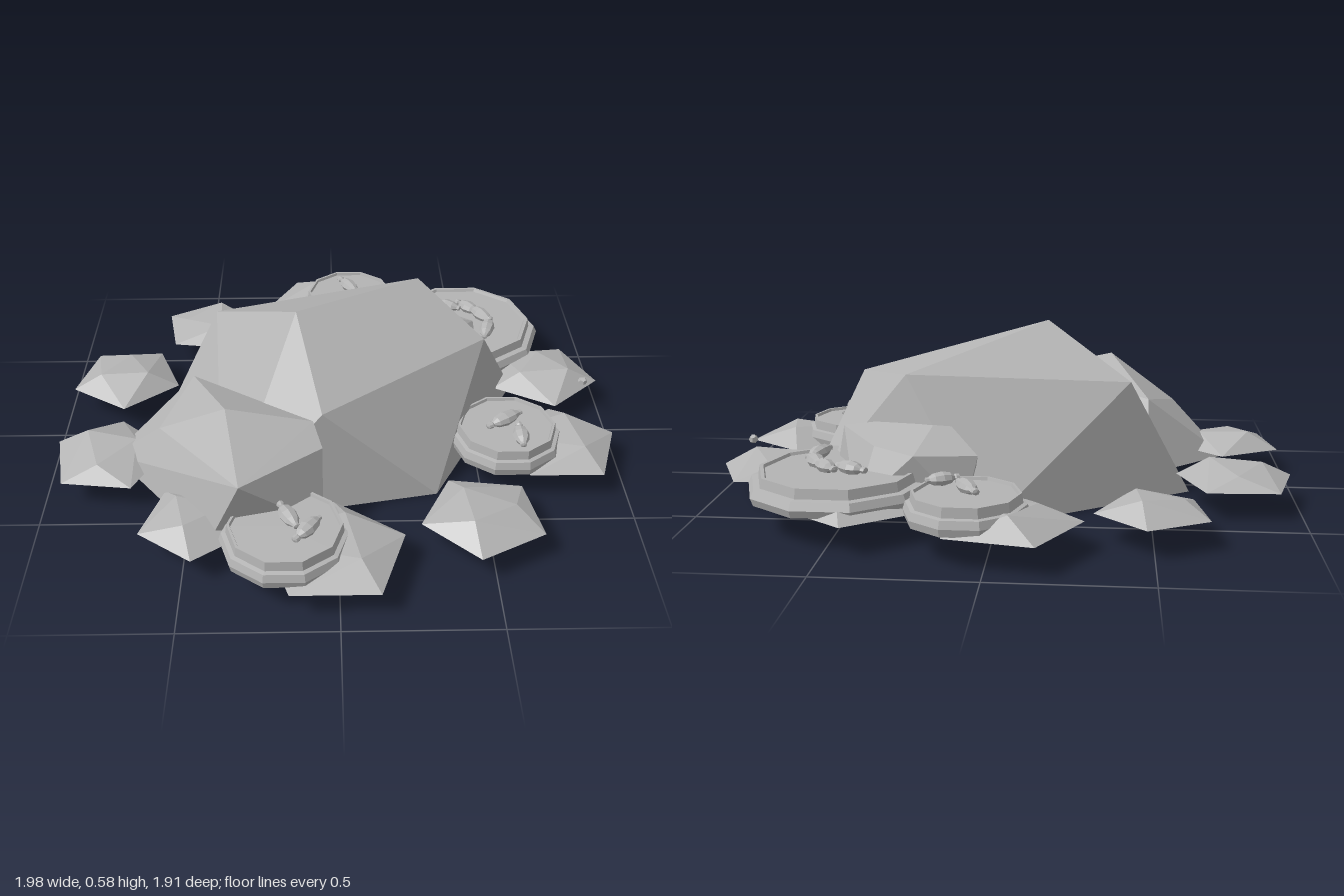
import * as THREE from 'three';
import { ConvexGeometry } from 'three/addons/geometries/ConvexGeometry.js';

const stone = new THREE.MeshStandardMaterial({ color: 0xb4b4b4, flatShading: true, side: THREE.DoubleSide });
stone.name = 'grey stone';

// Faceted shell around a few corner points, left open underneath
function openRock(corners) {
  const hull = new ConvexGeometry(corners.map(c => new THREE.Vector3(...c)));
  const p = hull.attributes.position;
  const kept = [];
  const tri = new THREE.Triangle(), n = new THREE.Vector3();
  for (let i = 0; i < p.count; i += 3) {
    tri.setFromAttributeAndIndices(p, i, i + 1, i + 2).getNormal(n);
    if (n.y > -0.95) kept.push(...tri.a.toArray(), ...tri.b.toArray(), ...tri.c.toArray());
  }
  const g = new THREE.BufferGeometry();
  g.setAttribute('position', new THREE.Float32BufferAttribute(kept, 3));
  g.computeVertexNormals();
  return g;
}

// Low pentagonal stone: five rim corners and three raised ones
function flatStone(x, z, r, degrees) {
  const a0 = THREE.MathUtils.degToRad(degrees);
  const corners = [];
  for (let i = 0; i < 5; i++) {
    const a = a0 + i * Math.PI * 0.4;
    corners.push([x + r * Math.cos(a), 0.095, z + r * Math.sin(a)]);
  }
  [0.157, 0.145, 0.135].forEach((y, i) => {
    const a = a0 + 0.3 + i * Math.PI * 2 / 3;
    corners.push([x + 0.5 * r * Math.cos(a), y, z + 0.5 * r * Math.sin(a)]);
  });
  return openRock(corners);
}

// Stepped round slab with a thin raised lip
function slab(r) {
  const profile = [[0, 0.1], [0.97, 0.1], [1, 0.125], [0.96, 0.15], [0.89, 0.153],
    [0.87, 0.185], [0.83, 0.185], [0.815, 0.175], [0, 0.175]];
  return new THREE.LatheGeometry(profile.map(([k, y]) => new THREE.Vector2(k * r, y)), 10);
}

// Small pod with a knob at one end, lying along z
function pod(length) {
  const profile = [[0, -0.5], [0.012, -0.48], [0.014, -0.38], [0.009, -0.34], [0.022, -0.22],
    [0.029, 0], [0.024, 0.24], [0.012, 0.4], [0.011, 0.48], [0, 0.5]];
  const g = new THREE.LatheGeometry(profile.map(([r, t]) => new THREE.Vector2(r, t * length)), 8);
  return g.rotateX(Math.PI / 2).scale(1, 0.8, 1);
}

export function createModel() {
  const model = new THREE.Group();
  const add = (name, geometry, parent = model) => {
    const mesh = new THREE.Mesh(geometry, stone);
    mesh.name = name;
    parent.add(mesh);
    return mesh;
  };

  // Three large boulders
  add('mainBoulder', openRock([
    [0.345, 0, 0.36], [0.69, 0, -0.295], [0.03, 0, -0.53], [-0.645, 0, -0.08], [-0.39, 0, 0.5],
    [-0.135, 0.58, 0.095], [0.525, 0.405, 0], [0.315, 0.46, -0.345], [-0.43, 0.415, -0.19], [-0.05, 0.37, 0.4],
  ]));
  add('frontBoulder', openRock([
    [-0.79, 0.06, 0.2], [-0.42, 0.06, 0.67], [-0.05, 0.06, 0.58], [-0.1, 0.06, 0.2], [-0.5, 0.06, -0.08],
    [-0.365, 0.405, 0.41], [-0.31, 0.32, 0.71], [-0.05, 0.31, 0.5], [-0.08, 0.345, 0.4], [-0.6, 0.25, 0.3],
    [-0.5, 0.3, 0.06],
  ]));
  add('rearBoulder', openRock([
    [0.1, 0.06, -0.53], [0.45, 0.06, -0.55], [0.57, 0.06, -0.33], [0.1, 0.06, -0.3],
    [0.06, 0.23, -0.5], [0.26, 0.24, -0.56], [0.4, 0.25, -0.48], [0.53, 0.28, -0.33], [0.2, 0.33, -0.35],
  ]));

  // Ring of flat stones: x, z, radius, corner angle
  const ring = [
    [-0.5, -0.61, 0.19, -82], [-0.79, -0.235, 0.205, 15], [-0.795, 0.25, 0.205, 205], [-0.465, 0.6, 0.19, 90],
    [-0.015, 0.75, 0.24, -90], [0.475, 0.59, 0.21, 98], [0.785, 0.21, 0.215, -90], [0.79, -0.23, 0.21, 12],
    [0.44, -0.645, 0.2, -90], [-0.05, -0.75, 0.24, -115],
  ];
  ring.forEach((s, i) => add('flatStone' + (i + 1), flatStone(...s)));

  // Round slabs: x, z, radius, and pods given by their end points
  const slabs = [
    [0.07, -0.735, 0.195, [[0.03, -0.81, 0.1, -0.69], [0.1, -0.65, 0.2, -0.7]]],
    [0.595, 0.205, 0.195, [[0.52, 0.25, 0.65, 0.16], [0.63, 0.23, 0.63, 0.36]]],
    [-0.17, 0.72, 0.21, [[-0.19, 0.64, -0.13, 0.76], [-0.14, 0.82, -0.06, 0.71]]],
    [0.51, -0.5, 0.305, [[0.4, -0.61, 0.51, -0.55], [0.5, -0.61, 0.58, -0.52],
      [0.55, -0.57, 0.62, -0.45], [0.62, -0.48, 0.58, -0.33], [0.39, -0.49, 0.47, -0.38]]],
  ];
  slabs.forEach(([x, z, r, pods], i) => {
    const disc = add('roundSlab' + (i + 1), slab(r));
    disc.position.set(x, 0, z);
    disc.rotation.y = Math.PI / 10;
    pods.forEach(([x1, z1, x2, z2]) => {
      const m = add('pod', pod(Math.hypot(x2 - x1, z2 - z1)));
      m.position.set((x1 + x2) / 2, 0.205, (z1 + z2) / 2);
      m.rotation.y = Math.atan2(x2 - x1, z2 - z1);
    });
  });

  // Loose pebble
  add('pebble', new THREE.DodecahedronGeometry(0.017)).position.set(0.92, 0.16, -0.09);
  return model;
}
